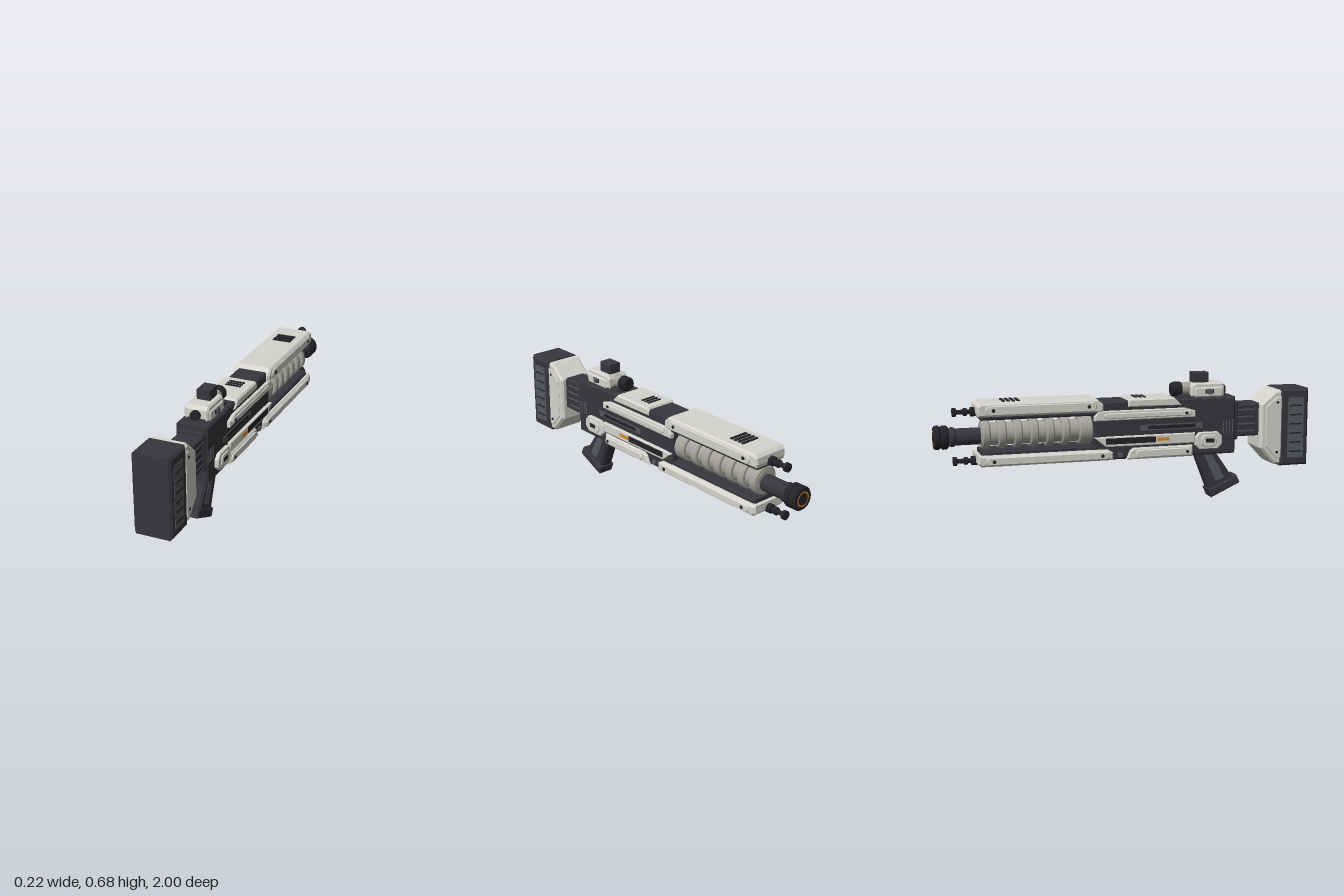
import * as THREE from 'three';
import { toCreasedNormals } from 'three/addons/utils/BufferGeometryUtils.js';

export function createModel() {
  const root = new THREE.Group();
  root.name = 'blaster';
  const mat = (name, color) => {
    const m = new THREE.MeshStandardMaterial({ color });
    m.name = name;
    return m;
  };
  const cream = mat('cream shell', 0xd6d4cd);
  const dark = mat('dark frame', 0x37363d);
  const black = mat('black detail', 0x232328);
  const grey = mat('grey inset', 0x565a5e);
  const ringGrey = mat('ring grey', 0xa5a29b);
  const orange = mat('orange accent', 0xd98a28);

  const add = (name, geo, m) => {
    const mesh = new THREE.Mesh(geo, m);
    mesh.name = name;
    root.add(mesh);
    return mesh;
  };
  // Side profile of [z, y] points, extruded across x with bevelled edges
  const slab = (name, pts, halfW, m, bevel = 0.008, x = 0) => {
    const shape = new THREE.Shape(pts.map(([z, y]) => new THREE.Vector2(-z, y)));
    const geo = new THREE.ExtrudeGeometry(shape, {
      depth: 2 * (halfW - bevel), bevelEnabled: true, bevelThickness: bevel,
      bevelSize: bevel, bevelOffset: -bevel, bevelSegments: 1,
    });
    geo.translate(0, 0, bevel - halfW).rotateY(Math.PI / 2).translate(x, 0, 0);
    return add(name, geo, m);
  };
  const rect = (z0, z1, y0, y1) => [[z0, y0], [z1, y0], [z1, y1], [z0, y1]];
  // Rectangle with cut corners
  const cut = (z0, z1, y0, y1, c) => [
    [z0, y0 + c], [z0 + c, y0], [z1 - c, y0], [z1, y0 + c],
    [z1, y1 - c], [z1 - c, y1], [z0 + c, y1], [z0, y1 - c]];
  const both = (fn) => [1, -1].forEach(fn);
  // Matching plates on both sides, spanning x from a to b
  const plates = (name, pts, a, b, m, bevel = 0.004) =>
    both((s) => slab(name, pts, (b - a) / 2, m, bevel, s * (a + b) / 2));
  const box = (name, w, h, d, x, y, z, m) => {
    const mesh = add(name, new THREE.BoxGeometry(w, h, d), m);
    mesh.position.set(x, y, z);
    return mesh;
  };
  // Thin painted marks on both sides
  const marks = (name, x, z0, z1, y0, y1, m) => both((s) =>
    box(name, 0.005, y1 - y0, z1 - z0, s * x, (y0 + y1) / 2, (z0 + z1) / 2, m));
  // Turned part along the barrel axis: points are [radius, forward distance]
  const turned = (name, pts, y, m, seg = 32) => {
    const geo = new THREE.LatheGeometry(pts.map((p) => new THREE.Vector2(...p)), seg);
    geo.rotateX(-Math.PI / 2);
    add(name, toCreasedNormals(geo, 0.5), m).position.y = y;
  };
  // Small round bolts or knobs on both sides
  const bolts = (name, r, x, y, z, m, h = 0.006) => both((s) => {
    const b = add(name, new THREE.CylinderGeometry(r, r, h, 16), m);
    b.rotation.z = Math.PI / 2;
    b.position.set(s * x, y, z);
  });

  // Butt pad with barred side insets
  slab('buttPad', rect(0.84, 1, 0.163, 0.58), 0.1, dark, 0.012);
  marks('padInset', 0.0995, 0.88, 0.972, 0.205, 0.532, grey);
  for (let i = 0; i < 6; i++) {
    const y = 0.24 + i * 0.05;
    marks('padBar', 0.101, 0.89, 0.96, y - 0.004, y + 0.004, black);
  }

  // Stock shell with raised cheek plates
  slab('stockShell', [[0.85, 0.172], [0.81, 0.172], [0.725, 0.265], [0.725, 0.5],
    [0.81, 0.575], [0.85, 0.575]], 0.095, cream, 0.012);
  plates('stockCheek', [[0.845, 0.205], [0.815, 0.205], [0.755, 0.275], [0.755, 0.485],
    [0.815, 0.54], [0.845, 0.54]], 0.09, 0.1, cream);
  for (const y of [0.24, 0.51]) bolts('stockBolt', 0.007, 0.1, y, 0.82, black);

  // Ribbed neck
  slab('stockNeck', rect(0.57, 0.74, 0.33, 0.505), 0.066, dark);
  for (let i = 0; i < 4; i++) {
    const y = 0.36 + i * 0.038;
    marks('neckRib', 0.066, 0.6, 0.7, y - 0.004, y + 0.004, grey);
  }
  slab('neckCollar', rect(0.575, 0.605, 0.315, 0.52), 0.073, dark);

  // Receiver
  slab('receiver', rect(-0.19, 0.585, 0.245, 0.548), 0.083, dark);
  for (let i = 0; i < 4; i++) {
    const z = 0.515 + i * 0.017;
    marks('receiverGroove', 0.083, z, z + 0.006, 0.355, 0.425, grey);
  }
  marks('ejectionSlot', 0.083, 0.06, 0.4, 0.39, 0.42, grey);
  marks('slotCover', 0.085, 0.1, 0.36, 0.396, 0.414, black);

  // Receiver shell: top cover, upper rail, lower rail and bottom cover
  slab('topCover', [[0.285, 0.515], [-0.01, 0.515], [-0.01, 0.542], [0.0, 0.558],
    [0.24, 0.558]], 0.09, cream);
  plates('upperRail', [[0.355, 0.452], [-0.19, 0.452], [-0.19, 0.475], [-0.165, 0.502],
    [0.3, 0.502], [0.355, 0.485]], 0.07, 0.1, cream);
  plates('upperRailRidge', cut(-0.14, 0.335, 0.462, 0.49, 0.01), 0.09, 0.105, cream);
  plates('lowerRail', [[0.355, 0.315], [-0.13, 0.315], [-0.19, 0.365], [-0.11, 0.368],
    [0.355, 0.368]], 0.07, 0.1, cream);
  marks('orangeMark', 0.1, 0.145, 0.21, 0.335, 0.352, orange);
  marks('railSlot', 0.1, -0.13, 0.138, 0.329, 0.36, black);
  slab('bottomCover', [[0.345, 0.243], [-0.02, 0.243], [0.0, 0.29], [0.02, 0.303],
    [0.345, 0.303]], 0.096, cream);
  plates('bottomCoverRidge', cut(0.03, 0.335, 0.252, 0.292, 0.012), 0.09, 0.105, cream);
  bolts('coverBolt', 0.008, 0.106, 0.272, 0.31, black);
  bolts('upperRailBolt', 0.008, 0.106, 0.476, 0.305, black);
  bolts('frameBolt', 0.014, 0.085, 0.27, -0.05, grey, 0.012);

  // Selector module
  plates('selectorPlate', cut(0.355, 0.505, 0.278, 0.368, 0.025), 0.07, 0.103, cream);
  plates('selectorRim', cut(0.385, 0.475, 0.292, 0.354, 0.015), 0.09, 0.11, cream);
  marks('selectorWindow', 0.109, 0.412, 0.458, 0.314, 0.335, black);

  // Upper and lower handguards with raised side ridges
  slab('upperHandguard', [[-0.14, 0.497], [-0.785, 0.497], [-0.79, 0.515], [-0.79, 0.55],
    [-0.775, 0.566], [-0.175, 0.566], [-0.14, 0.535]], 0.1, cream, 0.01);
  plates('upperGuardRidge', cut(-0.75, -0.18, 0.505, 0.553, 0.015), 0.09, 0.107, cream);
  slab('lowerHandguard', [[-0.09, 0.245], [-0.775, 0.245], [-0.79, 0.26], [-0.79, 0.302],
    [-0.12, 0.302], [-0.09, 0.285]], 0.1, cream, 0.01);
  plates('lowerGuardRidge', cut(-0.75, -0.11, 0.253, 0.292, 0.012), 0.09, 0.107, cream);
  for (const z of [-0.22, -0.71]) {
    bolts('upperGuardBolt', 0.009, 0.107, 0.53, z, black);
    bolts('lowerGuardBolt', 0.009, 0.107, 0.272, z + (z > -0.5 ? 0.07 : 0), black);
  }
  slab('upperGuardLiner', rect(-0.77, -0.17, 0.478, 0.51), 0.08, dark);
  slab('lowerGuardLiner', rect(-0.77, -0.07, 0.29, 0.322), 0.08, dark);

  // Vent bars on the top faces
  for (let i = 0; i < 4; i++)
    box('guardVent', 0.105, 0.008, 0.014, 0, 0.567, -0.648 + i * 0.025, black);
  for (let i = 0; i < 3; i++)
    box('coverVent', 0.085, 0.008, 0.013, 0, 0.558, 0.047 + i * 0.024, black);

  // Ringed shroud
  turned('shroudCore', [[0, 0.18], [0.058, 0.18], [0.058, 0.765], [0, 0.765]], 0.398, ringGrey);
  [0.225, 0.33, 0.412, 0.494, 0.576, 0.658, 0.74].forEach((f, i) => {
    const h = i ? 0.021 : 0.036;
    turned('shroudRing', [[0.05, f - h], [0.069, f - h], [0.076, f - h + 0.007],
      [0.076, f + h - 0.007], [0.069, f + h], [0.05, f + h]], 0.398, ringGrey);
  });

  // Barrel, muzzle and glowing ring
  turned('barrel', [[0, 0.75], [0.043, 0.75], [0.043, 0.89], [0.05, 0.9], [0.05, 0.915],
    [0.042, 0.922], [0.042, 0.94], [0, 0.94]], 0.39, dark);
  turned('muzzle', [[0, 0.925], [0.052, 0.925], [0.061, 0.935], [0.061, 0.955], [0.055, 0.96],
    [0.055, 0.968], [0.061, 0.973], [0.061, 0.99], [0.055, 0.998], [0, 0.998]], 0.39, black);
  const glow = add('muzzleRing', new THREE.RingGeometry(0.031, 0.039, 32), orange);
  glow.rotation.y = Math.PI;
  glow.position.set(0, 0.39, -1);

  // Knurled pins below and above the barrel
  for (const y of [0.515, 0.265])
    turned('frontPin', [[0, 0.78], [0.024, 0.78], [0.024, 0.81], [0.012, 0.815], [0.012, 0.825],
      [0.02, 0.83], [0.02, 0.845], [0.012, 0.85], [0.012, 0.88], [0.023, 0.885],
      [0.023, 0.902], [0, 0.902]], y, black, 16);

  // Raked grip and its foot
  slab('grip', [[0.485, 0.26], [0.375, 0.26], [0.46, 0.04], [0.595, 0.1]], 0.042, dark, 0.012);
  plates('gripInset', [[0.475, 0.235], [0.425, 0.235], [0.495, 0.085], [0.545, 0.105]],
    0.035, 0.044, grey, 0.003);
  slab('gripFoot', [[0.612, 0.117], [0.632, 0.074], [0.47, 0], [0.45, 0.045]], 0.049, dark, 0.007);

  // Sight: rail, shell, lens tube, eyepiece, knobs and top block
  slab('sightRail', rect(0.28, 0.54, 0.54, 0.563), 0.05, dark, 0.005);
  slab('sightFoot', cut(0.36, 0.52, 0.55, 0.602, 0.008), 0.07, cream, 0.006);
  slab('sightShell', [[0.53, 0.553], [0.345, 0.553], [0.345, 0.605], [0.36, 0.624],
    [0.515, 0.624], [0.53, 0.605]], 0.062, cream);
  turned('sightCollar', [[0, -0.36], [0.034, -0.36], [0.034, -0.305], [0, -0.305]], 0.59, ringGrey);
  turned('sightLens', [[0, -0.31], [0.03, -0.31], [0.038, -0.3], [0.038, -0.26],
    [0.032, -0.25], [0, -0.25]], 0.59, black);
  turned('sightEyepiece', [[0, -0.55], [0.025, -0.55], [0.025, -0.52], [0, -0.52]], 0.58, black);
  marks('sightWindow', 0.07, 0.42, 0.465, 0.568, 0.59, black);
  bolts('sightKnob', 0.015, 0.074, 0.579, 0.442, grey, 0.012);
  slab('sightBlock', rect(0.365, 0.45, 0.615, 0.677), 0.036, dark, 0.004);

  return root;
}
